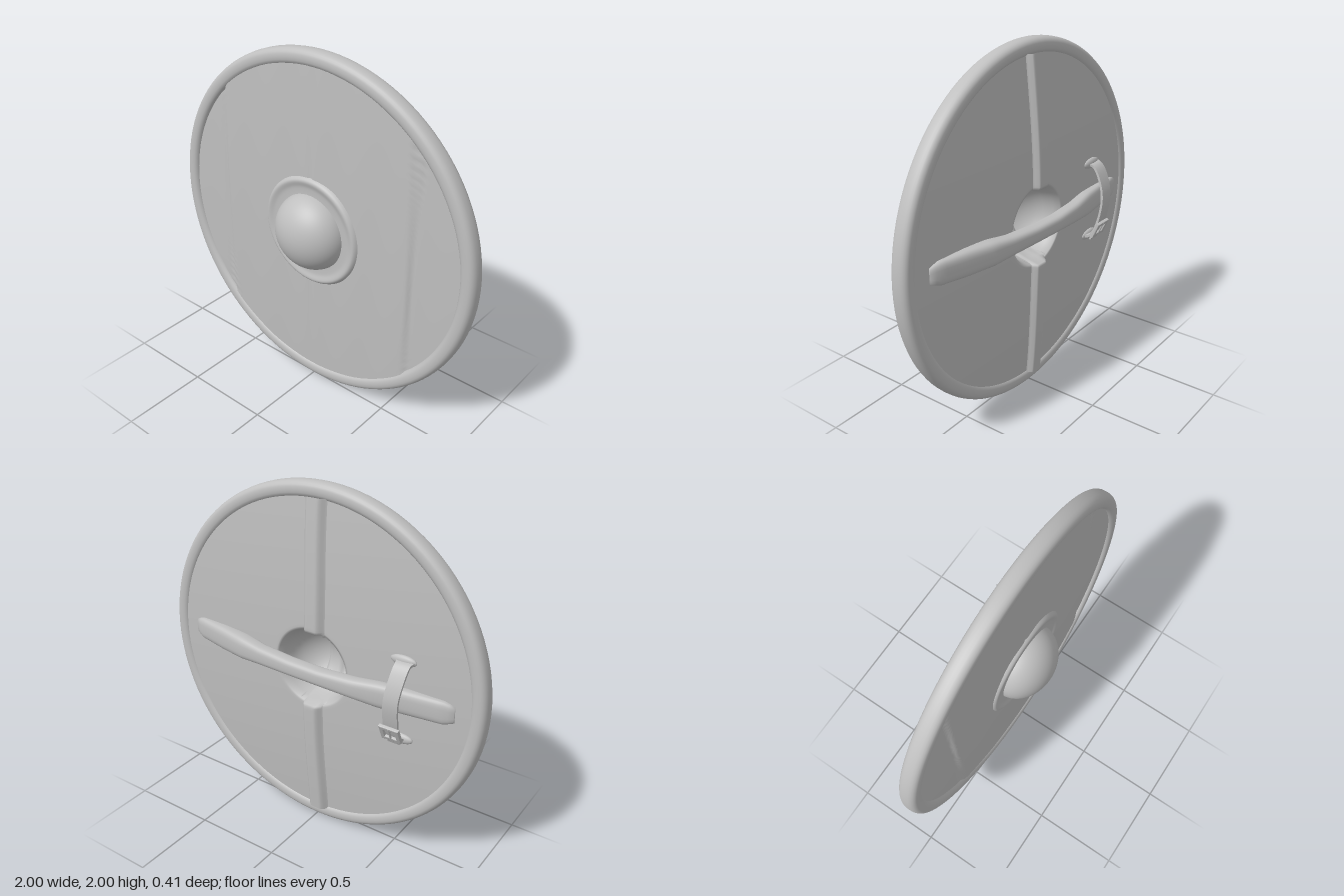
import * as THREE from 'three';
import { mergeVertices } from 'three/addons/utils/BufferGeometryUtils.js';

const { smoothstep } = THREE.MathUtils;

// The whole shield bows back slightly toward its sides
const bow = x => -0.01 * x - 0.01 * x * x;

// Front face: shallow dome, raised middle planks, faint plank ripples
function frontZ(x, y) {
  const r = Math.hypot(x, y);
  const step = 0.011 * smoothstep(Math.abs(x), 0.625, 0.655);
  const groove = 0.006 * Math.exp(-(((Math.abs(x) - 0.645) / 0.015) ** 2));
  const ripple = 0.0025 * Math.cos(x * 21) - 0.005 * Math.exp(-((x / 0.012) ** 2));
  return 0.034 - 0.018 * (r / 0.93) ** 2 - step - groove + ripple * (1 - r * r) + bow(x);
}

// Back face: gentle bulge with a hollow behind the boss
function backZ(x, y) {
  const r = Math.hypot(x, y);
  const face = -0.065 - 0.045 * (1 - (r / 0.93) ** 2) + bow(x);
  const bowl = -0.1 + 0.25 * Math.sqrt(Math.max(0, 1 - (r / 0.215) ** 2));
  return face + (bowl - face) * (1 - smoothstep(r, 0.19, 0.24));
}

// Moves every vertex by a rule and rebuilds the normals
function reshape(geo, rule, weld = true) {
  let g = geo;
  if (weld) {
    g.deleteAttribute('uv');
    g.deleteAttribute('normal');
    g = mergeVertices(g, 1e-5);
  }
  const p = g.attributes.position;
  const v = new THREE.Vector3();
  for (let i = 0; i < p.count; i++) {
    v.fromBufferAttribute(p, i);
    rule(v);
    p.setXYZ(i, v.x, v.y, v.z);
  }
  g.computeVertexNormals();
  return g;
}

// Smooth interpolation through rows of [x, a, b, c]
function sample(rows, x) {
  let i = 0;
  while (i < rows.length - 2 && x > rows[i + 1][0]) i++;
  const [a, b] = [rows[i], rows[i + 1]];
  const t = THREE.MathUtils.clamp((x - a[0]) / (b[0] - a[0]), 0, 1);
  return a.map((n, k) => n + (b[k] - n) * t);
}

export function createModel() {
  const group = new THREE.Group();
  const grey = new THREE.MeshStandardMaterial({ color: 0xbfbfbf });
  grey.name = 'plainGrey';

  const body = new THREE.Group();
  body.name = 'shield';
  body.position.y = 1;
  group.add(body);
  const add = (name, geo, parent = body) => {
    const mesh = new THREE.Mesh(geo, grey);
    mesh.name = name;
    parent.add(mesh);
    return mesh;
  };

  // Board faces
  add('boardFront', reshape(new THREE.RingGeometry(0.2, 0.94, 144, 56), v => { v.z = frontZ(v.x, v.y); }));
  add('boardBack', reshape(new THREE.RingGeometry(0.001, 0.94, 112, 72).rotateY(Math.PI),
    v => { v.z = backZ(v.x, v.y); }));

  // Rounded rim
  const rimProfile = [];
  for (let i = 0; i <= 24; i++) {
    const t = (i / 24) * Math.PI * 2;
    const c = Math.cos(t), s = Math.sin(t);
    rimProfile.push(new THREE.Vector2(
      0.955 + 0.045 * Math.sign(c) * Math.abs(c) ** 0.8,
      -0.025 + 0.053 * Math.sign(s) * Math.abs(s) ** 0.8));
  }
  add('rim', reshape(new THREE.LatheGeometry(rimProfile, 112).rotateX(Math.PI / 2),
    v => { v.z += bow(v.x); }));

  // Boss: low flange, then the dome
  const flange = new THREE.SplineCurve([[0.325, 0.02], [0.312, 0.042], [0.295, 0.05],
    [0.265, 0.042], [0.24, 0.04], [0.215, 0.04]].map(p => new THREE.Vector2(...p)));
  add('bossFlange', new THREE.LatheGeometry(flange.getPoints(24), 72).rotateX(Math.PI / 2));
  const dome = [];
  for (let i = 0; i <= 24; i++) {
    const t = (i / 24) * Math.PI / 2;
    dome.push(new THREE.Vector2(0.222 * Math.cos(t), 0.02 + 0.18 * Math.sin(t)));
  }
  add('bossDome', new THREE.LatheGeometry(dome, 64).rotateX(Math.PI / 2));

  // Vertical batten that follows the back and dips through the hollow
  add('batten', reshape(new THREE.PlaneGeometry(0.16, 1.86, 16, 120).rotateY(Math.PI), v => {
    const ridge = smoothstep(v.x, -0.08, -0.03) * (1 - smoothstep(v.x, 0.035, 0.06));
    v.x -= 0.01 + 0.006 * Math.sin(v.y * 5);
    v.z = backZ(v.x, v.y) + 0.006 - 0.04 * ridge;
  }));

  // Horizontal grip: x, back z, front z, half width
  const grip = [
    [-0.84, -0.085, -0.05, 0.045], [-0.79, -0.105, -0.05, 0.064], [-0.6, -0.137, -0.06, 0.068],
    [-0.44, -0.166, -0.08, 0.069], [-0.3, -0.188, -0.1, 0.056], [-0.1, -0.203, -0.115, 0.046],
    [0.1, -0.205, -0.115, 0.046], [0.3, -0.197, -0.105, 0.053], [0.44, -0.187, -0.08, 0.067],
    [0.6, -0.158, -0.06, 0.07], [0.78, -0.122, -0.05, 0.064], [0.83, -0.1, -0.05, 0.045]];
  const soften = n => Math.sign(n) * Math.abs(n) ** 0.65;
  add('grip', reshape(new THREE.CylinderGeometry(1, 1, 1, 28, 60).rotateZ(-Math.PI / 2), v => {
    const x = -0.005 + v.x * 1.67;
    const [, back, front, half] = sample(grip, x);
    v.set(x, 0.03 * x + half * soften(v.y), (back + front) / 2 + soften(v.z) * (front - back) / 2);
  }));

  // Arm strap arching over the grip
  const strap = new THREE.Group();
  strap.name = 'armStrap';
  strap.position.x = -0.55;
  body.add(strap);
  const path = new THREE.CatmullRomCurve3([[-0.015, 0.2, -0.07], [-0.015, 0.19, -0.125],
    [-0.01, 0.12, -0.172], [0, 0.02, -0.2], [0.005, -0.09, -0.19], [0.01, -0.19, -0.16],
    [0.012, -0.235, -0.13], [0.012, -0.25, -0.08]].map(p => new THREE.Vector3(...p)));
  add('strapBand', reshape(new THREE.BoxGeometry(0.085, 1, 0.014, 1, 48, 1), v => {
    const t = 0.5 - v.y;
    const p = path.getPoint(t);
    const d = path.getTangent(t);
    const flare = 1 + 0.35 * (1 - smoothstep(t, 0, 0.15));
    v.set(p.x + v.x * flare, p.y + d.z * v.z, p.z - d.y * v.z);
  }, false), strap);

  // Buckle: rectangular frame with a bar and tongue
  const buckle = new THREE.Group();
  buckle.name = 'buckle';
  buckle.position.set(0.01, -0.185, -0.168);
  buckle.rotation.x = -0.42;
  strap.add(buckle);
  const rectangle = (path2, w, h) => path2.moveTo(-w, -h).lineTo(w, -h).lineTo(w, h).lineTo(-w, h).closePath();
  const frame = rectangle(new THREE.Shape(), 0.054, 0.046);
  frame.holes.push(rectangle(new THREE.Path(), 0.038, 0.03));
  add('buckleFrame', new THREE.ExtrudeGeometry(frame, {
    depth: 0.012, bevelThickness: 0.004, bevelSize: 0.004, bevelSegments: 2,
  }).translate(0, 0, -0.012), buckle);
  add('buckleTongue', new THREE.CylinderGeometry(0.006, 0.006, 0.085, 10).translate(0, 0, -0.012), buckle);
  add('strapTail', new THREE.BoxGeometry(0.07, 0.05, 0.012).translate(0, -0.06, 0.004), buckle);

  // Low swellings where the strap meets the board
  for (const y of [0.2, -0.25]) {
    const pad = add('strapMount', new THREE.SphereGeometry(1, 24, 12), strap);
    pad.scale.set(0.075, 0.03, 0.02);
    pad.position.set(0, y, backZ(-0.55, y));
  }

  return group;
}
